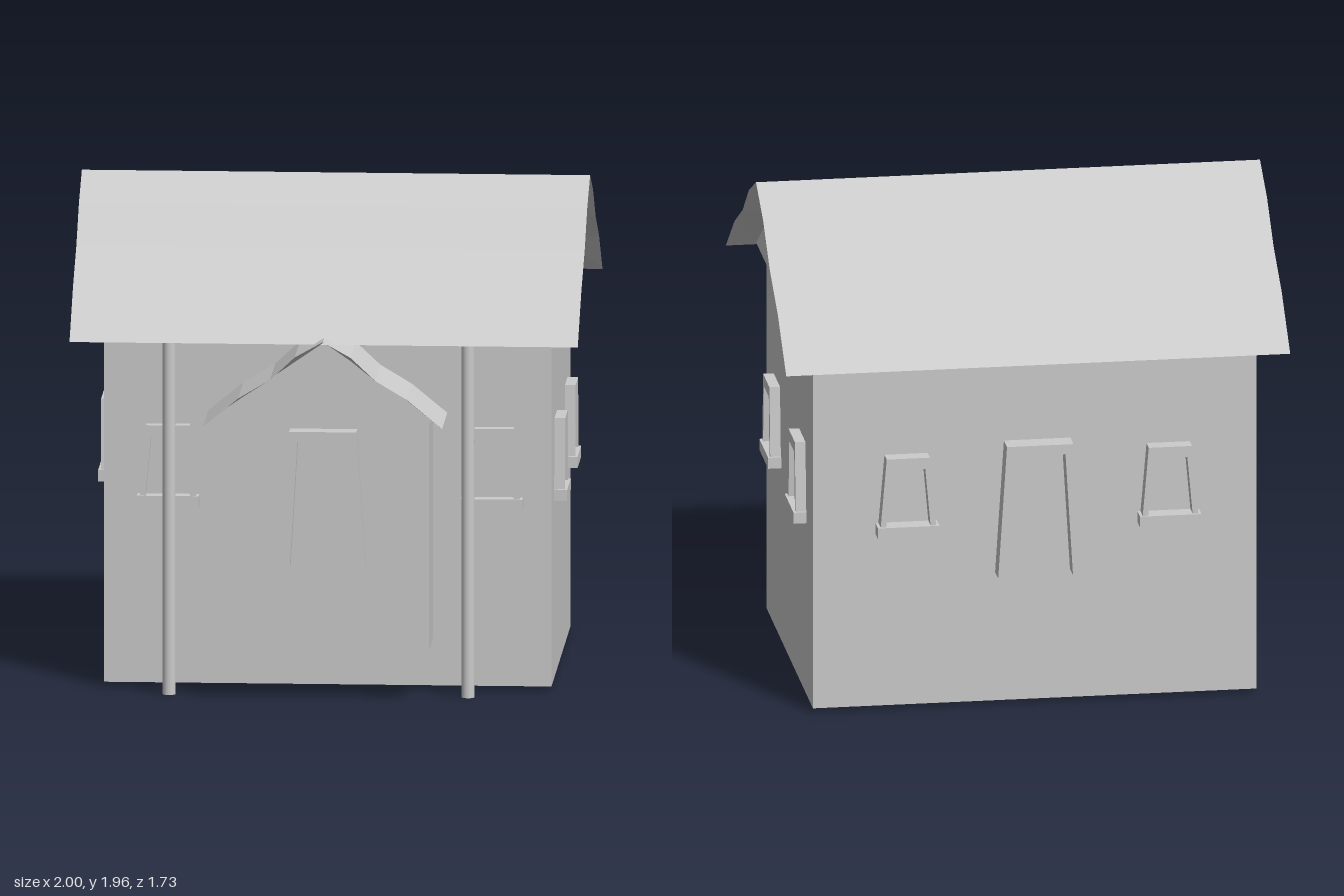
import * as THREE from 'three';

const material = new THREE.MeshStandardMaterial({ color: 0xcccccc, flatShading: true, side: THREE.DoubleSide });
const smooth = new THREE.MeshStandardMaterial({ color: 0xcccccc });

function add(parent, name, geometry, mat = material) {
  const mesh = new THREE.Mesh(geometry, mat);
  mesh.name = name;
  parent.add(mesh);
  return mesh;
}

// Box between two corners, leaving out some faces (order: +x -x +y -y +z -z)
function shell([x0, y0, z0], [x1, y1, z1], skip) {
  const g = new THREE.BoxGeometry(x1 - x0, y1 - y0, z1 - z0);
  g.translate((x0 + x1) / 2, (y0 + y1) / 2, (z0 + z1) / 2);
  g.setIndex([...g.index.array].filter((_, i) => !skip.includes(Math.floor(i / 6))));
  g.clearGroups();
  return g;
}

// Wavy gabled roof: a sagging skin whose ends taper in to straight gables.
// profile: [across, height] from eave to eave, ridge in the middle.
// a, b: ends of the skin; ia, ib: positions of the gables; baseY: soffit height.
function roofGeometry(profile, a, b, ia, ib, baseY) {
  const n = profile.length - 1, mid = n / 2;
  const [ru, ry] = profile[mid];
  const straight = profile.map(([u], i) => {
    const eave = profile[i <= mid ? 0 : n][0];
    const t = (u - eave) / (ru - eave);
    const start = eave + Math.sign(ru - eave) * 0.02;
    return [start + (ru - start) * t, baseY + (ry - 0.015 - baseY) * t];
  });
  const ring = (points, w) => points.map(([u, y]) => [u, y, w]);
  const outA = ring(profile, a), outB = ring(profile, b);
  const inA = ring(straight, ia), inB = ring(straight, ib);
  const pos = [];
  const tri = (...p) => p.forEach((v) => pos.push(...v));
  const quad = (p, q, r, s) => { tri(p, q, r); tri(p, r, s); };
  for (let i = 0; i < n; i++) {
    quad(outB[i], outB[i + 1], outA[i + 1], outA[i]);
    quad(inB[i], inB[i + 1], outB[i + 1], outB[i]);
    quad(outA[i], outA[i + 1], inA[i + 1], inA[i]);
  }
  tri(inB[0], inB[n], inB[mid]);
  tri(inA[n], inA[0], inA[mid]);
  quad(inA[0], inA[n], inB[n], inB[0]);
  quad(outA[0], inA[0], inB[0], outB[0]);
  quad(inA[n], outA[n], outB[n], inB[n]);
  const g = new THREE.BufferGeometry();
  g.setAttribute('position', new THREE.Float32BufferAttribute(pos, 3));
  g.computeVertexNormals();
  return g;
}

// Tapered three-sided frame, open at the bottom, reaching through the wall
function frameGeometry(y0, y1, outBottom, outTop, inBottom, inTop, lintel, depth) {
  const pts = [
    [-outBottom, y0], [-inBottom, y0], [-inTop, y1 - lintel], [inTop, y1 - lintel],
    [inBottom, y0], [outBottom, y0], [outTop, y1], [-outTop, y1],
  ];
  const shape = new THREE.Shape(pts.map(([x, y]) => new THREE.Vector2(x, y)));
  const g = new THREE.ExtrudeGeometry(shape, { depth: depth * 2, bevelEnabled: false });
  return g.translate(0, 0, -depth);
}

function place(parent, name, x, z, angle) {
  const group = new THREE.Group();
  group.name = name;
  group.position.set(x, 0, z);
  group.rotation.y = angle;
  parent.add(group);
  return group;
}

function addWindow(parent, name, x, z, angle, depth) {
  const win = place(parent, name, x, z, angle);
  add(win, 'windowFrame', frameGeometry(0.77, 1.05, 0.11, 0.086, 0.088, 0.067, 0.045, depth));
  const d = depth + 0.01;
  add(win, 'windowSill', shell([-0.122, 0.725, -d], [0.122, 0.77, d], []));
}

function addDoor(parent, name, x, z, angle, depth) {
  const door = place(parent, name, x, z, angle);
  add(door, 'doorFrame', frameGeometry(0.545, 1.087, 0.167, 0.132, 0.13, 0.1, 0.04, depth));
}

export function createModel() {
  const house = new THREE.Group();
  house.name = 'house';

  // Main walls, open below, and porch room, open below and behind
  add(house, 'walls', shell([-0.88, 0.015, -0.763], [0.88, 1.44, 0.521], [2, 3]));
  add(house, 'porchWalls', shell([-0.413, 0.2, 0.48], [0.413, 1.12, 0.793], [2, 3, 5]));

  // Main roof, ridge along x
  const mainProfile = [
    [-0.862, 1.425], [-0.627, 1.605], [-0.404, 1.72], [-0.225, 1.862], [-0.028, 1.957],
    [0.167, 1.862], [0.341, 1.723], [0.563, 1.605], [0.805, 1.425],
  ];
  const roof = roofGeometry(mainProfile, -1, 1, -0.882, 0.882, 1.438);
  add(house, 'mainRoof', roof.rotateY(-Math.PI / 2));

  // Porch roof, ridge along z
  const porchProfile = [
    [-0.47, 1.105], [-0.332, 1.219], [-0.207, 1.294], [-0.11, 1.385], [0, 1.447],
    [0.11, 1.385], [0.207, 1.294], [0.332, 1.219], [0.47, 1.105],
  ];
  add(house, 'porchRoof', roofGeometry(porchProfile, 0.48, 0.868, 0.482, 0.795, 1.12));

  // Roof posts
  for (const x of [-0.615, 0.561]) {
    const post = add(house, 'post', new THREE.CylinderGeometry(0.026, 0.026, 1.44, 16), smooth);
    post.position.set(x, 0.72, 0.684);
  }

  // Windows on the front, back, left and right walls
  for (const x of [-0.627, 0.647]) addWindow(house, 'frontWindow', x, 0.521, 0, 0.042);
  for (const x of [-0.53, 0.51]) addWindow(house, 'backWindow', x, -0.763, Math.PI, 0.062);
  for (const z of [0.23, -0.47]) addWindow(house, 'leftWindow', 0.88, z, Math.PI / 2, 0.042);
  addWindow(house, 'rightWindow', -0.88, -0.08, -Math.PI / 2, 0.042);

  // Doors
  addDoor(house, 'frontDoor', 0, 0.793, 0, 0.073);
  addDoor(house, 'backDoor', -0.01, -0.763, Math.PI, 0.085);

  return house;
}
